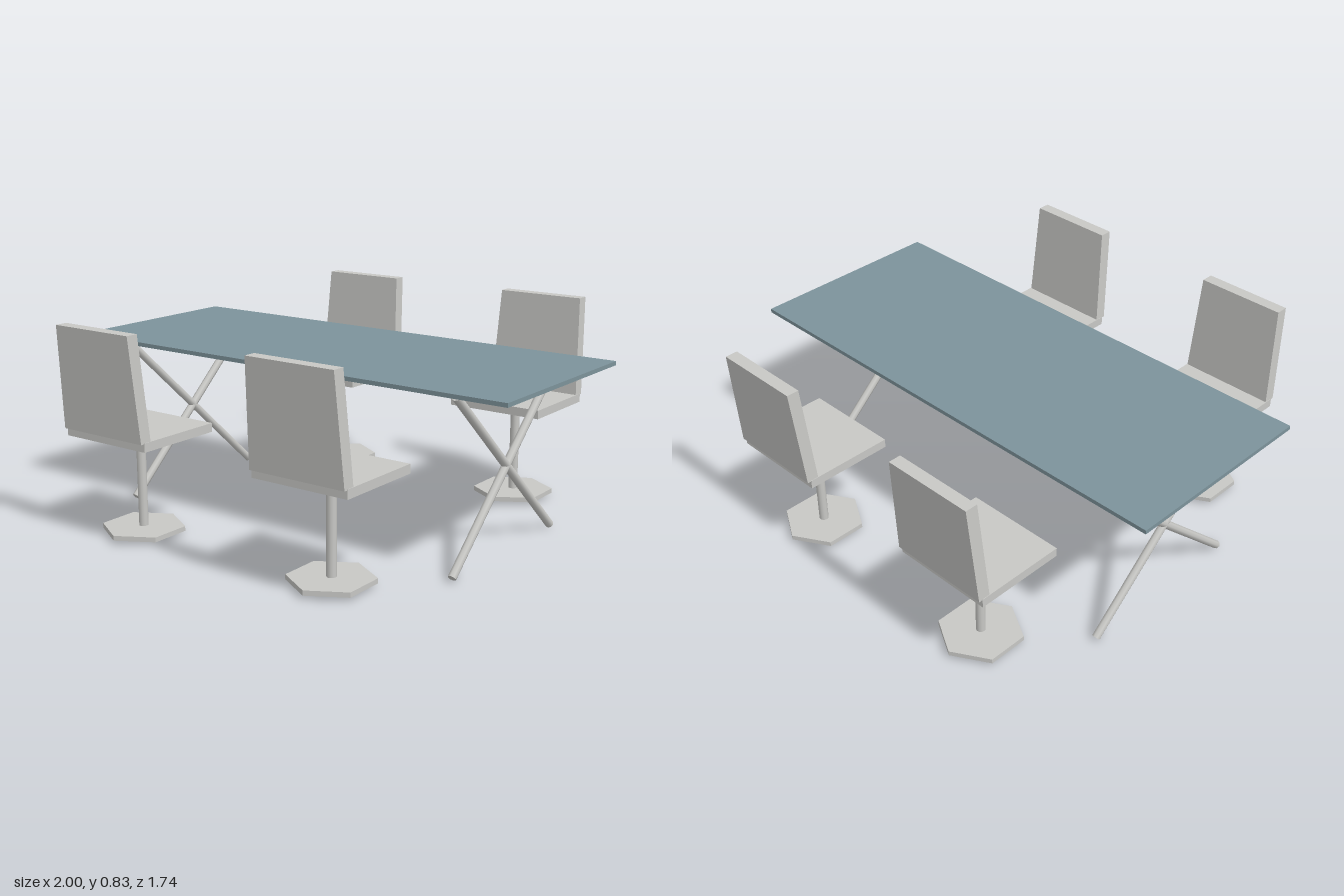
import * as THREE from 'three';

const topMaterial = new THREE.MeshStandardMaterial({ color: 0x7d939b });
topMaterial.name = 'blue grey top';
const greyMaterial = new THREE.MeshStandardMaterial({ color: 0xc8c8c5 });
greyMaterial.name = 'light grey';
const flatGreyMaterial = greyMaterial;

function addMesh(parent, name, geometry, material, x = 0, y = 0, z = 0) {
  const mesh = new THREE.Mesh(geometry, material);
  mesh.name = name;
  mesh.position.set(x, y, z);
  parent.add(mesh);
  return mesh;
}

// Backrest: a box that narrows and leans outward towards the top
function backrestGeometry() {
  const bottom = 0.432, top = 0.835;
  const geometry = new THREE.BoxGeometry(2, 1, 1);
  const p = geometry.attributes.position;
  for (let i = 0; i < p.count; i++) {
    const upper = p.getY(i) > 0, outer = p.getZ(i) > 0;
    const halfWidth = upper ? 0.183 : 0.2;
    const z = upper ? (outer ? 0.23 : 0.18) : (outer ? 0.196 : 0.147);
    p.setXYZ(i, Math.sign(p.getX(i)) * halfWidth, upper ? top : bottom, z);
  }
  geometry.computeVertexNormals();
  return geometry;
}

// Chair centred on its pole, with the backrest on the +z side
function createChair() {
  const chair = new THREE.Group();
  chair.name = 'chair';
  addMesh(chair, 'seat', new THREE.BoxGeometry(0.404, 0.035, 0.363), greyMaterial, 0, 0.418, 0);
  addMesh(chair, 'backrest', backrestGeometry(), greyMaterial);
  addMesh(chair, 'pole', new THREE.CylinderGeometry(0.0185, 0.0185, 0.38, 12), greyMaterial, 0, 0.215, 0);
  // Hexagonal foot with sharp edges
  const foot = new THREE.CylinderGeometry(0.163, 0.163, 0.019, 6).toNonIndexed();
  foot.computeVertexNormals();
  addMesh(chair, 'foot', foot, flatGreyMaterial, 0, 0.025, 0);
  return chair;
}

// Table: thin top on two crossed pairs of bars
function createTable() {
  const table = new THREE.Group();
  table.name = 'table';
  addMesh(table, 'tableTop', new THREE.BoxGeometry(2, 0.016, 0.812), topMaterial, 0, 0.682, 0);

  const dy = 0.655, dz = 0.722;
  const bar = new THREE.CylinderGeometry(0.0165, 0.0165, Math.hypot(dy, dz), 8);
  for (const side of [-1, 1]) {
    for (const lean of [-1, 1]) {
      const leg = addMesh(table, 'crossedLeg', bar, greyMaterial, side * 0.775, 0.342, 0);
      leg.rotation.x = lean * Math.atan2(dz, dy);
    }
  }
  return table;
}

export function createModel() {
  const model = new THREE.Group();
  model.name = 'diningSet';
  model.add(createTable());
  for (const x of [-0.455, 0.455]) {
    for (const row of [-1, 1]) {
      const chair = createChair();
      chair.position.set(x, 0, row * 0.638);
      chair.rotation.y = row > 0 ? 0 : Math.PI;
      model.add(chair);
    }
  }
  return model;
}
